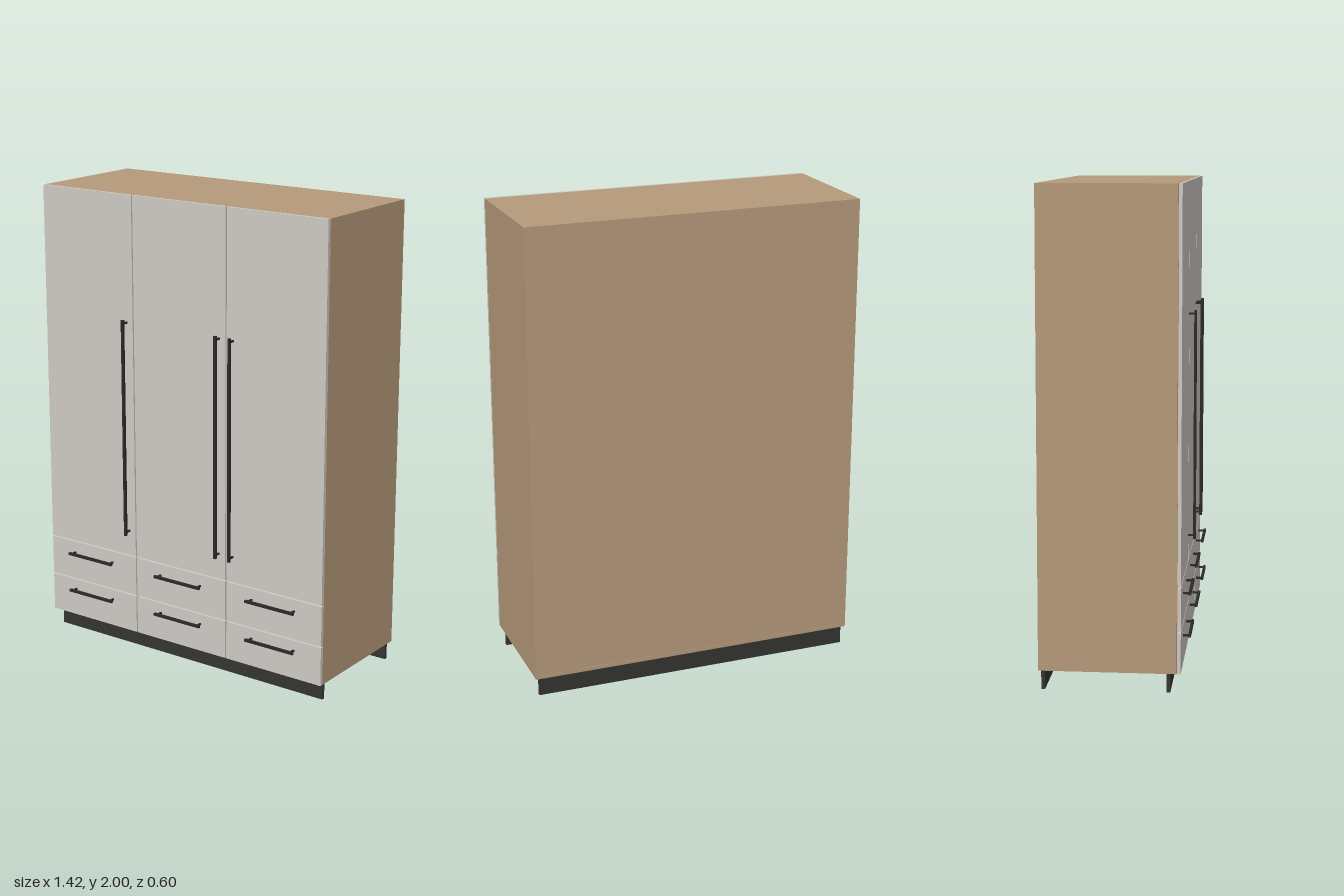
import * as THREE from 'three';

const wood = new THREE.MeshStandardMaterial({ color: 0xb59a7a });
const front = new THREE.MeshStandardMaterial({ color: 0xcfcac4 });
const metal = new THREE.MeshStandardMaterial({ color: 0x2b2a29 });
const base = new THREE.MeshStandardMaterial({ color: 0x343432 });

// Box given by its min and max along each axis
function box(parent, name, material, [x0, x1], [y0, y1], [z0, z1]) {
  const mesh = new THREE.Mesh(new THREE.BoxGeometry(x1 - x0, y1 - y0, z1 - z0), material);
  mesh.position.set((x0 + x1) / 2, (y0 + y1) / 2, (z0 + z1) / 2);
  mesh.name = name;
  parent.add(mesh);
  return mesh;
}

// Square bar handle on two posts, built along x and turned upright if asked
function handle(parent, name, length, x, y, upright) {
  const g = new THREE.Group();
  g.name = name;
  const h = length / 2, r = 0.0055;
  box(g, 'handleBar', metal, [-h, h], [-r, r], [0.289, 0.3]);
  for (const s of [-1, 1]) {
    const p = s * (h - 0.015);
    box(g, 'handlePost', metal, [p - 0.004, p + 0.004], [-0.004, 0.004], [0.266, 0.29]);
  }
  g.position.set(x, y, 0);
  if (upright) g.rotation.z = Math.PI / 2;
  parent.add(g);
}

export function createModel() {
  const model = new THREE.Group();
  model.name = 'wardrobe';
  const W = 0.712, bottom = 0.08, top = 2, t = 0.015, back = -0.3, face = 0.251;
  const bay = (2 * W) / 3, gap = 0.003;

  // Carcass panels, with the back panel set slightly in
  const carcass = new THREE.Group();
  carcass.name = 'carcass';
  model.add(carcass);
  for (const s of [-1, 1]) {
    const x = s * (W - t / 2);
    box(carcass, s < 0 ? 'rightSide' : 'leftSide', wood, [x - t / 2, x + t / 2], [bottom, top], [back, face]);
    const d = s * bay / 2;
    box(carcass, 'partition', wood, [d - t / 2, d + t / 2], [bottom + t, top - t], [back + 0.01, face]);
  }
  const inner = [-W + t, W - t];
  box(carcass, 'topPanel', wood, inner, [top - t, top], [back, face]);
  box(carcass, 'bottomPanel', wood, inner, [bottom, bottom + t], [back, face]);
  box(carcass, 'backPanel', wood, inner, [bottom + t, top - t], [back + 0.002, back + 0.012]);
  // Rail shelf between the doors and the drawers
  box(carcass, 'shelf', wood, inner, [0.421, 0.436], [back + 0.012, face]);

  // Plinth boards
  for (const [name, z] of [['frontPlinth', 0.218], ['backPlinth', -0.282]]) {
    box(model, name, base, [-0.696, 0.696], [0, bottom], [z - 0.0075, z + 0.0075]);
  }

  // Each bay: one tall door over two drawers
  const depth = [0.253, 0.267];
  for (let i = -1; i <= 1; i++) {
    const cx = i * bay;
    const span = [
      i < 0 ? -W : cx - bay / 2 + gap,
      i > 0 ? W : cx + bay / 2 - gap,
    ];
    box(model, 'door', front, span, [0.432, top], depth);
    box(model, 'upperDrawer', front, span, [0.253, 0.426], depth);
    box(model, 'lowerDrawer', front, span, [bottom, 0.247], depth);
    handle(model, 'upperDrawerHandle', 0.24, cx, 0.376, false);
    handle(model, 'lowerDrawerHandle', 0.24, cx, 0.203, false);
    // The first two doors open from their +x edge, the last from its -x edge
    const hx = i > 0 ? cx - bay / 2 + 0.035 : cx + bay / 2 - 0.035;
    handle(model, 'doorHandle', 0.95, hx, 1.004, true);
  }
  return model;
}
